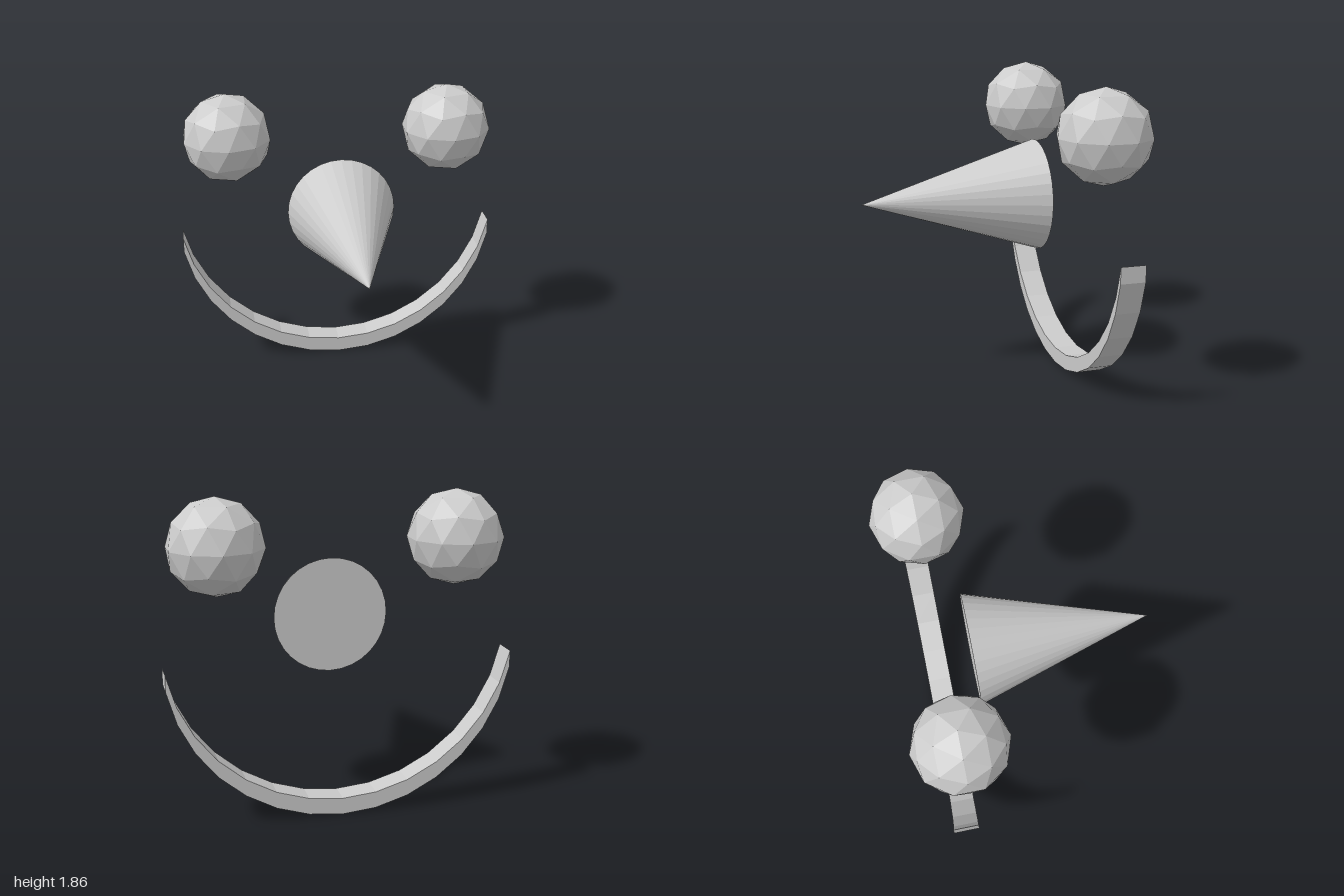
import * as THREE from 'three';

export function createModel() {
  const group = new THREE.Group();
  const material = new THREE.MeshStandardMaterial({ color: 0xcccccc, flatShading: true });
  const add = (name, geometry, x, y, z) => {
    const mesh = new THREE.Mesh(geometry, material);
    mesh.name = name;
    mesh.position.set(x, y, z);
    group.add(mesh);
  };

  // Eyes: faceted spheres turned so that one corner points straight up
  const eye = new THREE.IcosahedronGeometry(0.277, 1);
  eye.rotateZ(Math.atan(2 / (1 + Math.sqrt(5))));
  add('leftEye', eye, 0.69, 1.58, -0.485);
  add('rightEye', eye, -0.69, 1.58, -0.485);

  // Nose: long cone pointing forward
  const nose = new THREE.ConeGeometry(0.337, 1.08, 32);
  nose.rotateX(Math.PI / 2);
  add('nose', nose, 0, 1.12, 0.22);

  // Mouth: lower arc of a 32-sided circle, raised straight up to give it thickness
  const step = Math.PI / 16, radius = 1 / Math.sin(7 * step), thickness = 0.098;
  const arc = [];
  for (let i = -7; i <= 7; i++) {
    arc.push(new THREE.Vector2(radius * Math.sin(i * step), radius * (1 - Math.cos(i * step))));
  }
  const upper = arc.map((p) => new THREE.Vector2(p.x, p.y + thickness)).reverse();
  const mouth = new THREE.ExtrudeGeometry(new THREE.Shape([...arc, ...upper]), {
    depth: 0.15,
    bevelEnabled: false,
  });
  add('mouth', mouth, 0, 0, -0.62);

  return group;
}
